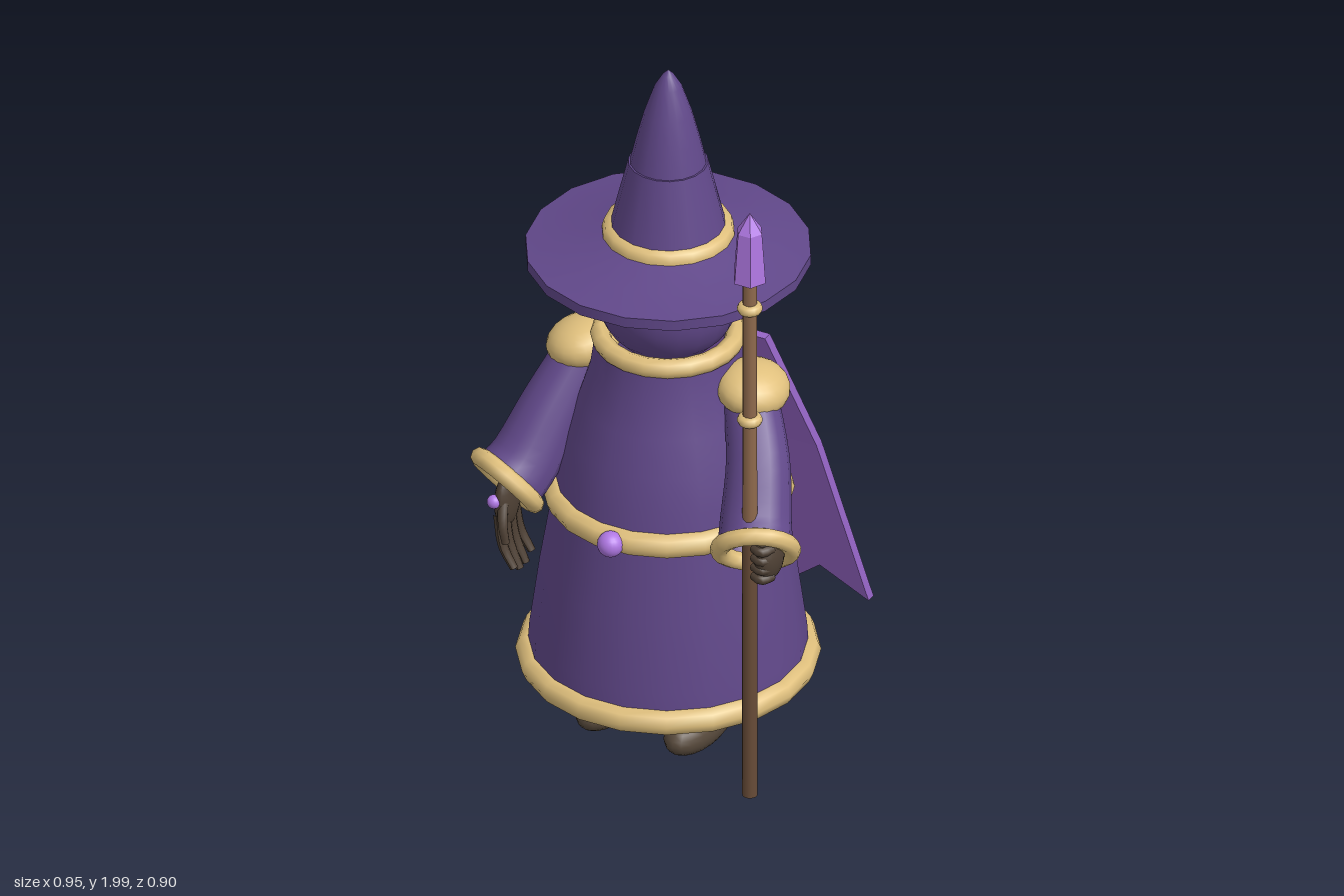
import * as THREE from 'three';

const mat = (name, color, double = false) => {
  const m = new THREE.MeshStandardMaterial({ color });
  m.name = name;
  if (double) m.side = THREE.DoubleSide;
  return m;
};
const V = (x, y, z) => new THREE.Vector3(x, y, z);

export function createModel() {
  const root = new THREE.Group();
  root.name = 'wizard';
  const robeMat = mat('robe purple', 0x61488a, true);
  const capeMat = mat('cape violet', 0x9565c6);
  const gold = mat('gold trim', 0xe0c07d);
  const lilac = mat('lilac crystal', 0xb078e4);
  const leather = mat('glove brown', 0x4e4034);
  const bootMat = mat('boot brown', 0x584a3c);
  const wood = mat('staff wood', 0x8f6a4d);
  const darkWood = mat('staff dark wood', 0x684c38);
  const facet = lilac.clone();
  facet.name = 'lilac crystal facets';
  facet.flatShading = true;

  const add = (parent, name, geo, material, x = 0, y = 0, z = 0) => {
    const m = new THREE.Mesh(geo, material);
    m.name = name;
    m.position.set(x, y, z);
    parent.add(m);
    return m;
  };
  const lathe = (pts, seg = 20) =>
    new THREE.LatheGeometry(pts.map(p => new THREE.Vector2(...p)), seg, Math.PI / seg);
  const ring = (R, r, seg = 20) =>
    new THREE.TorusGeometry(R, r, 8, seg).rotateX(Math.PI / 2).rotateY(Math.PI / seg);
  const ball = (rx, ry, rz) => new THREE.SphereGeometry(1, 20, 14).scale(rx, ry, rz);

  // Tube along a path whose radius runs from r0 to r1
  const taper = (pts, r0, r1, seg = 8, sides = 8) => {
    const curve = new THREE.CatmullRomCurve3(pts);
    const g = new THREE.TubeGeometry(curve, seg, 1, sides);
    const p = g.attributes.position, v = V(0, 0, 0);
    for (let i = 0; i < p.count; i++) {
      const t = Math.floor(i / (sides + 1)) / seg;
      const c = curve.getPointAt(t);
      v.fromBufferAttribute(p, i).sub(c).multiplyScalar(r0 + (r1 - r0) * t).add(c);
      p.setXYZ(i, v.x, v.y, v.z);
    }
    g.computeVertexNormals();
    return g;
  };

  // Robe with hem, belt and collar
  const body = new THREE.Group();
  body.name = 'body';
  body.position.set(-0.013, 0, 0.055);
  root.add(body);
  add(body, 'robe', lathe([[0.368, 0.21], [0.362, 0.3], [0.335, 0.5], [0.302, 0.7], [0.287, 0.8],
    [0.264, 0.9], [0.234, 1.0], [0.203, 1.1], [0.19, 1.19]]), robeMat);
  add(body, 'robeUnderside', new THREE.CircleGeometry(0.368, 20).rotateX(Math.PI / 2), robeMat, 0, 0.205, 0);
  add(body, 'hemTrim', ring(0.364, 0.035), gold, 0, 0.22, 0);
  add(body, 'belt', ring(0.296, 0.034), gold, 0, 0.72, 0);
  add(body, 'beltGem', ball(0.035, 0.035, 0.035), lilac, 0, 0.72, 0.325);
  add(body, 'collar', ring(0.177, 0.027), gold, 0, 1.19, 0);

  // Head and eyes
  add(body, 'head', ball(0.193, 0.193, 0.193), robeMat, 0, 1.33, 0);
  for (const s of [-1, 1]) add(body, 'eye', ball(0.012, 0.012, 0.008), lilac, s * 0.058, 1.34, 0.184);

  // Hat
  const hat = new THREE.Group();
  hat.name = 'hat';
  body.add(hat);
  add(hat, 'brimTop', lathe([[0.375, 1.46], [0.27, 1.477], [0.15, 1.51]], 18), robeMat);
  add(hat, 'brimEdge', lathe([[0.375, 1.43], [0.375, 1.46]], 18), robeMat);
  add(hat, 'brimUnderside', lathe([[0.1, 1.48], [0.375, 1.43]], 18), robeMat);
  add(hat, 'hatBand', lathe([[0.174, 1.49], [0.174, 1.51], [0.168, 1.53], [0.148, 1.535]], 18), gold);
  add(hat, 'hatLower', lathe([[0.158, 1.5], [0.105, 1.72]], 18), robeMat);
  add(hat, 'hatLowerTop', new THREE.CircleGeometry(0.105, 18).rotateX(-Math.PI / 2), robeMat, 0, 1.72, 0);
  add(hat, 'hatTip', lathe([[0.1, 1.72], [0.084, 1.79], [0.063, 1.87], [0.036, 1.95], [0.015, 1.985], [0, 2]], 18), robeMat);

  // Legs and boots
  for (const s of [-1, 1]) {
    const x = s * 0.13;
    add(body, 'leg', new THREE.CylinderGeometry(0.055, 0.055, 0.12, 14), robeMat, x, 0.16, 0);
    add(body, 'ankleTrim', ring(0.056, 0.016, 14), gold, x, 0.175, 0);
    add(body, 'boot', ball(0.07, 0.067, 0.16), bootMat, x, 0.075, 0.067);
  }

  // Arms: shoulder pads, wide sleeves and cuffs
  for (const s of [-1, 1]) {
    const arm = new THREE.Group();
    arm.name = s > 0 ? 'leftArm' : 'rightArm';
    root.add(arm);
    const sx = -0.013 + s * 0.25;
    const cuff = V(s * 0.365, 0.762, 0.287);
    const out = V(s * 0.36, -0.6, 0.7).normalize();
    const pad = add(arm, 'shoulderPad', ball(0.096, 0.066, 0.106), gold, sx, 1.095, 0.055);
    pad.rotation.z = -s * 0.2;
    add(arm, 'sleeve', taper([V(sx - s * 0.005, 1.075, 0.062), V(s * 0.302, 0.94, 0.152),
      cuff.clone().addScaledVector(out, -0.06), cuff], 0.072, 0.099, 10, 16), robeMat);
    const trim = add(arm, 'cuff', new THREE.TorusGeometry(0.095, 0.025, 8, 18), gold, cuff.x, cuff.y, cuff.z);
    trim.quaternion.setFromUnitVectors(V(0, 0, 1), out);
  }

  // Open right hand with hanging fingers
  const right = new THREE.Group();
  right.name = 'rightHand';
  root.add(right);
  add(right, 'palm', ball(0.027, 0.08, 0.055), leather, -0.358, 0.715, 0.3);
  for (let i = 0; i < 4; i++) {
    const z = 0.26 + i * 0.027, end = 0.515 + Math.abs(i - 1.5) * 0.018;
    add(right, 'finger', taper([V(-0.36, 0.69, z), V(-0.345, 0.6, z + (i - 1.5) * 0.005),
      V(-0.312, end, z + (i - 1.5) * 0.006)], 0.017, 0.011), leather);
  }
  add(right, 'thumb', taper([V(-0.355, 0.73, 0.33), V(-0.34, 0.67, 0.36), V(-0.33, 0.62, 0.362)], 0.016, 0.011), leather);
  add(right, 'handGem', ball(0.019, 0.019, 0.019), lilac, -0.372, 0.728, 0.348);

  // Left hand closed beside the staff
  const left = new THREE.Group();
  left.name = 'leftHand';
  root.add(left);
  add(left, 'palm', ball(0.034, 0.066, 0.056), leather, 0.41, 0.757, 0.295);
  for (let i = 0; i < 4; i++) {
    const y = 0.712 + i * 0.028;
    add(left, 'finger', taper([V(0.425, y, 0.31), V(0.412, y, 0.342), V(0.382, y, 0.332)], 0.015, 0.012), leather);
  }

  // Staff with rings and a six-sided crystal
  const staff = new THREE.Group();
  staff.name = 'staff';
  staff.position.set(0.354, 0, 0.298);
  root.add(staff);
  add(staff, 'staffLower', new THREE.CylinderGeometry(0.02, 0.02, 0.8, 10), darkWood, 0, 0.41, 0);
  add(staff, 'staffUpper', new THREE.CylinderGeometry(0.019, 0.02, 0.8, 10), wood, 0, 1.21, 0);
  for (const y of [1.165, 1.508]) add(staff, 'staffRing', ring(0.019, 0.015, 14), gold, 0, y, 0);
  const crystal = new THREE.LatheGeometry([[0, 1.592], [0.047, 1.597], [0.036, 1.745], [0, 1.8]]
    .map(p => new THREE.Vector2(...p)), 6, Math.PI / 6);
  add(staff, 'crystal', crystal, facet);

  // Cape: two sheared slabs meeting at a crease, with a ragged bottom
  const cape = new THREE.Group();
  cape.name = 'cape';
  cape.position.x = -0.013;
  root.add(cape);
  const slab = (name, pts, y0, z0, y1, z1) => {
    const g = new THREE.ExtrudeGeometry(new THREE.Shape(pts.map(p => new THREE.Vector2(...p))),
      { depth: 0.028, bevelEnabled: false });
    const p = g.attributes.position;
    for (let i = 0; i < p.count; i++) {
      const t = (p.getY(i) - y0) / (y1 - y0);
      p.setZ(i, p.getZ(i) - 0.028 + z0 + (z1 - z0) * t);
    }
    g.computeVertexNormals();
    add(cape, name, g, capeMat);
  };
  slab('capeUpper', [[-0.265, 0.735], [0.265, 0.735], [0.19, 1.125], [-0.19, 1.125]], 1.125, -0.126, 0.735, -0.273);
  slab('capeLower', [[-0.342, 0.2], [-0.21, 0.285], [-0.108, 0.2], [0, 0.275], [0.108, 0.2],
    [0.21, 0.285], [0.342, 0.2], [0.265, 0.735], [-0.265, 0.735]], 0.735, -0.273, 0.2, -0.418);

  // Diamond clasp at the top of the cape
  const clasp = add(cape, 'capeClasp',
    new THREE.BoxGeometry(0.1, 0.1, 0.014).rotateZ(Math.PI / 4), robeMat, 0, 1.065, -0.18);
  clasp.rotation.x = 0.36;

  return root;
}
